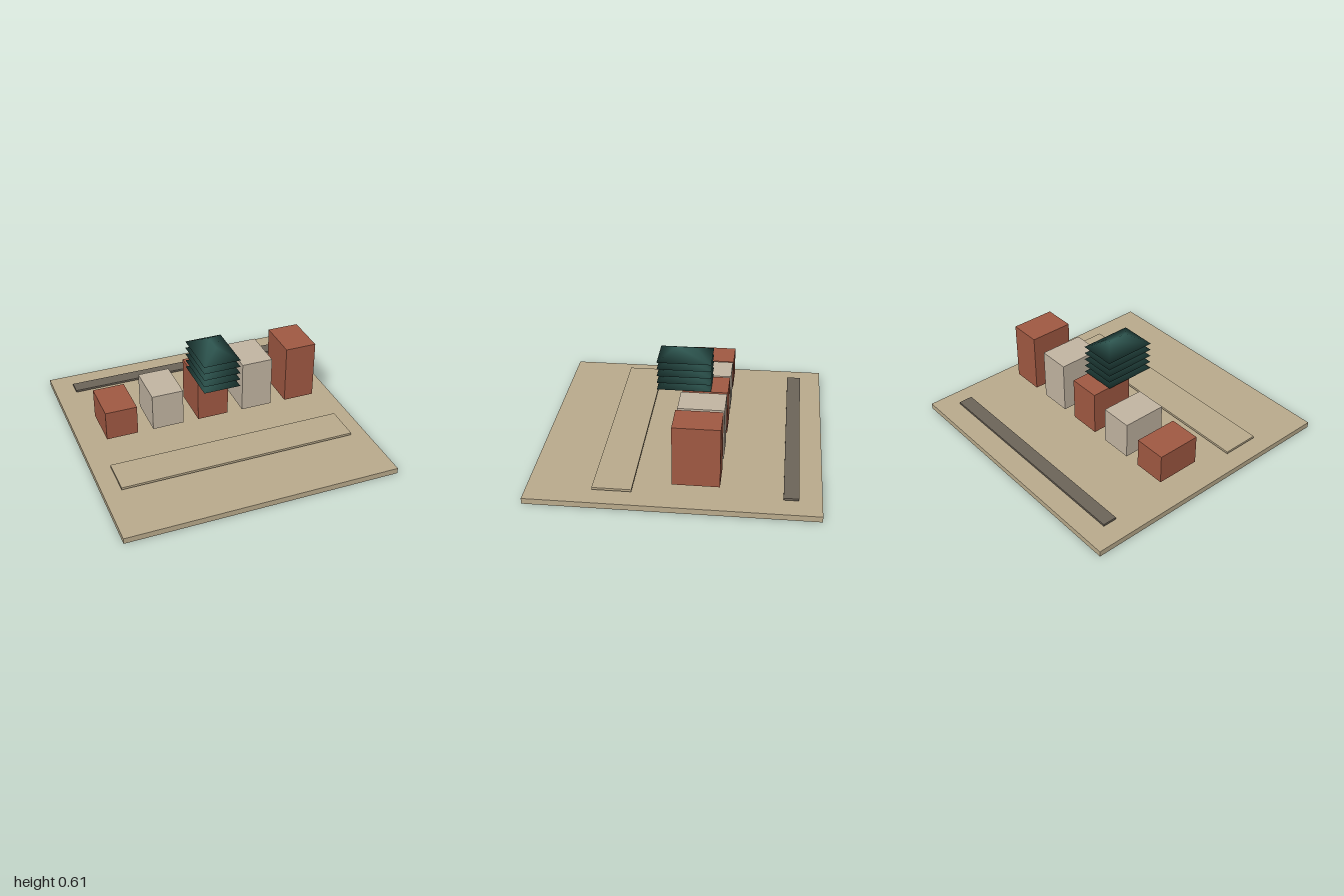
import * as THREE from 'three';

const material = (color) => new THREE.MeshStandardMaterial({ color });

// Box standing on height y0 and reaching y1
function block(name, w, d, y0, y1, x, z, mat) {
  const mesh = new THREE.Mesh(new THREE.BoxGeometry(w, y1 - y0, d), mat);
  mesh.name = name;
  mesh.position.set(x, (y0 + y1) / 2, z);
  return mesh;
}

// Closed hip roof with a ridge along z and softly shared normals
function hipRoof(halfW, halfD, height, halfRidge) {
  const geo = new THREE.BufferGeometry();
  geo.setAttribute('position', new THREE.Float32BufferAttribute([
    -halfW, 0, -halfD, halfW, 0, -halfD, halfW, 0, halfD, -halfW, 0, halfD,
    0, height, -halfRidge, 0, height, halfRidge,
  ], 3));
  geo.setIndex([
    0, 4, 1, // back
    1, 4, 5, 1, 5, 2, // left slope
    2, 5, 3, // front
    3, 5, 4, 3, 4, 0, // right slope
    0, 1, 2, 0, 2, 3, // underside
  ]);
  geo.computeVertexNormals();
  return geo;
}

export function createModel() {
  const model = new THREE.Group();
  model.name = 'houseRow';
  const site = new THREE.Group();
  site.name = 'site';
  site.rotation.y = -0.22;
  model.add(site);

  const sand = material(0xbcad8e);
  const brick = material(0xa25a43);
  const stone = material(0xc4b7a4);
  const asphalt = material(0x6e665a);
  const green = material(0x2f5852);

  // Ground slab, front terrace and back road
  site.add(block('groundSlab', 1.675, 1.675, 0, 0.035, 0, 0, sand));
  site.add(block('frontTerrace', 1.46, 0.226, 0.049, 0.063, 0, 0.344, sand));
  site.add(block('backRoad', 1.424, 0.086, 0.043, 0.056, 0, -0.663, asphalt));

  // Row of five houses, each taller than the last
  for (let i = 0; i < 5; i++) {
    site.add(block(`house${i + 1}`, 0.196, 0.272, 0.084, 0.27 + i * 0.046,
      (i - 2) * 0.293, -0.128, i % 2 ? stone : brick));
  }

  // Stack of five hip roofs
  const roofs = new THREE.Group();
  roofs.name = 'stackedRoofs';
  const roofGeo = hipRoof(0.115, 0.162, 0.056, 0.06);
  for (let i = 0; i < 5; i++) {
    const roof = new THREE.Mesh(roofGeo, green);
    roof.name = `roof${i + 1}`;
    roof.position.y = 0.372 + i * 0.0448;
    roofs.add(roof);
  }
  site.add(roofs);

  return model;
}
